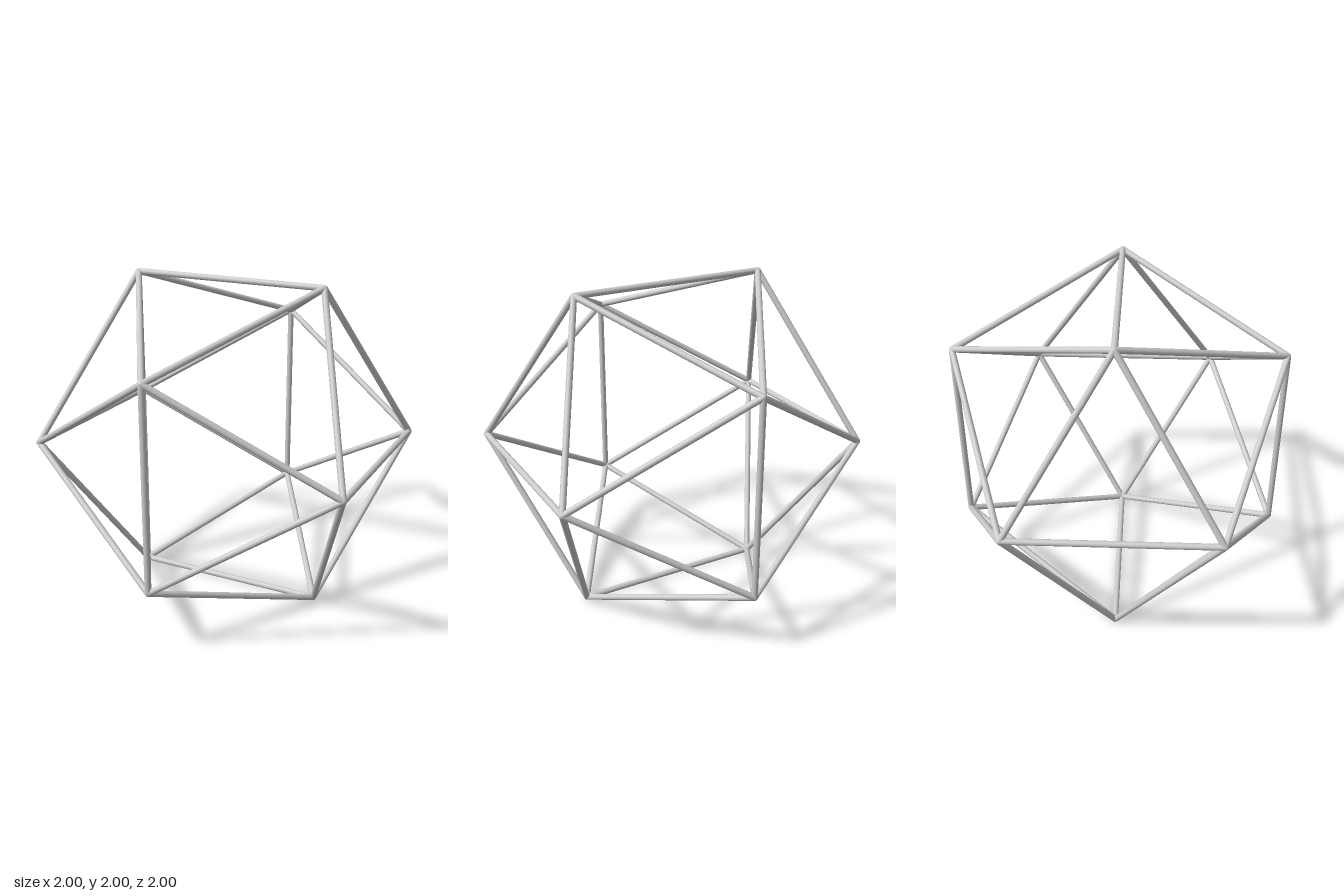
import * as THREE from 'three';

export function createModel() {
  const group = new THREE.Group();
  group.name = 'icosahedronFrame';
  const material = new THREE.MeshStandardMaterial({ color: 0xcccccc });

  const radius = 0.0185;
  const far = 1 - radius;
  const near = far / ((1 + Math.sqrt(5)) / 2);

  // Twelve corners: three mutually perpendicular golden rectangles
  const corners = [];
  for (const a of [-near, near]) {
    for (const b of [-far, far]) {
      corners.push(
        new THREE.Vector3(a, b + 1, 0),
        new THREE.Vector3(0, a + 1, b),
        new THREE.Vector3(b, 1, a)
      );
    }
  }

  // Rounded joints, flush with the struts
  const jointGeometry = new THREE.SphereGeometry(radius, 12, 8);
  for (const corner of corners) {
    const joint = new THREE.Mesh(jointGeometry, material);
    joint.name = 'joint';
    joint.position.copy(corner);
    group.add(joint);
  }

  // Thirty struts between neighbouring corners
  const edge = 2 * near;
  const strutGeometry = new THREE.CylinderGeometry(radius, radius, edge, 16);
  const up = new THREE.Vector3(0, 1, 0);
  corners.forEach((a, i) => {
    for (const b of corners.slice(i + 1)) {
      if (a.distanceTo(b) > edge * 1.1) continue;
      const strut = new THREE.Mesh(strutGeometry, material);
      strut.name = 'strut';
      strut.position.lerpVectors(a, b, 0.5);
      strut.quaternion.setFromUnitVectors(up, b.clone().sub(a).normalize());
      group.add(strut);
    }
  });

  return group;
}
